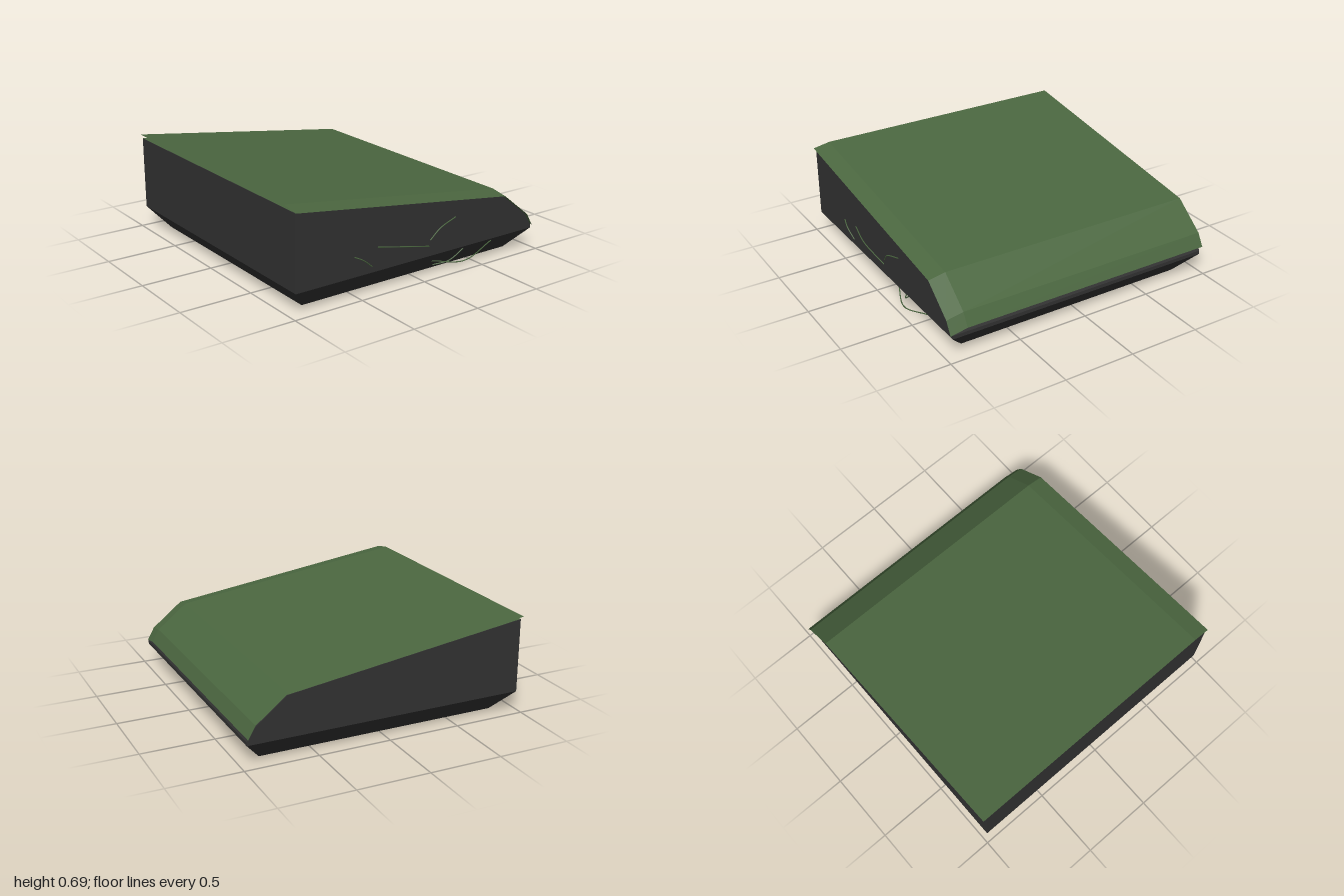
import * as THREE from 'three';

const green = new THREE.MeshStandardMaterial({ color: 0x4b6740, side: THREE.DoubleSide });
green.name = 'moss green';
const charcoal = new THREE.MeshStandardMaterial({ color: 0x323232 });
charcoal.name = 'charcoal';

function part(name, geometry, material) {
  const mesh = new THREE.Mesh(geometry, material);
  mesh.name = name;
  return mesh;
}

// Thin sheet: an x/y profile swept along z stations, each [z, drop], with sharp folds
function sheetGeometry(profile, stations) {
  const pos = [];
  const at = (p, s) => [p[0], p[1] - s[1], s[0]];
  for (let i = 0; i < profile.length - 1; i++) {
    for (let j = 0; j < stations.length - 1; j++) {
      const a = at(profile[i], stations[j]);
      const b = at(profile[i], stations[j + 1]);
      const c = at(profile[i + 1], stations[j + 1]);
      const d = at(profile[i + 1], stations[j]);
      pos.push(...a, ...b, ...c, ...a, ...c, ...d);
    }
  }
  const geo = new THREE.BufferGeometry();
  geo.setAttribute('position', new THREE.Float32BufferAttribute(pos, 3));
  geo.computeVertexNormals();
  return geo;
}

export function createModel() {
  const model = new THREE.Group();
  model.name = 'wedgeBlock';

  // Wedge-shaped upper body, sloping down to a bevelled end
  const outline = [[-0.97, 0.15], [0.97, 0.15], [0.97, 0.175], [0.915, 0.262], [0.7, 0.432], [-0.97, 0.66]];
  const shape = new THREE.Shape(outline.map(([x, y]) => new THREE.Vector2(x, y)));
  const upper = new THREE.ExtrudeGeometry(shape, { depth: 1.94, bevelEnabled: false });
  upper.translate(0, 0, -0.975);
  model.add(part('upperBody', upper, charcoal));

  // Tapered base
  const base = new THREE.CylinderGeometry(0.97 * Math.SQRT2, 0.843 * Math.SQRT2, 0.15, 4, 1).toNonIndexed();
  base.rotateY(Math.PI / 4);
  base.computeVertexNormals();
  base.translate(0, 0.075, -0.005);
  model.add(part('taperedBase', base, charcoal));

  // Green face directly on the slope of the body
  model.add(part('slopeFace', sheetGeometry([[-0.97, 0.662], [0.7, 0.434]], [[-0.975, 0], [0.965, 0]]), green));

  // Cover floating just above the body, folded down along the front
  const cover = [[-0.975, 0.685], [0.705, 0.456], [0.92, 0.285], [0.97, 0.198]];
  model.add(part('cover', sheetGeometry(cover, [[-1, 0], [0.86, 0], [0.98, 0.022]]), green));

  // Loose strands on the front
  const strands = [
    [[-0.54, 0.285, 0.966], [-0.48, 0.255, 0.978], [-0.4, 0.19, 0.966]],
    [[-0.36, 0.31, 0.966], [-0.18, 0.28, 0.993], [0.06, 0.22, 0.966]],
    [[0.07, 0.26, 0.966], [0.14, 0.33, 0.978], [0.28, 0.375, 0.966]],
    [[0.14, 0.08, 0.905], [0.35, 0.057, 0.98], [0.62, 0.13, 0.95]],
    [[0.18, 0.03, 0.865], [0.27, 0.06, 0.925], [0.37, 0.13, 0.95]],
  ];
  const group = new THREE.Group();
  group.name = 'strands';
  for (const points of strands) {
    const curve = new THREE.CatmullRomCurve3(points.map((p) => new THREE.Vector3(...p)));
    group.add(part('strand', new THREE.TubeGeometry(curve, 20, 0.004, 6), green));
  }
  model.add(group);

  return model;
}
